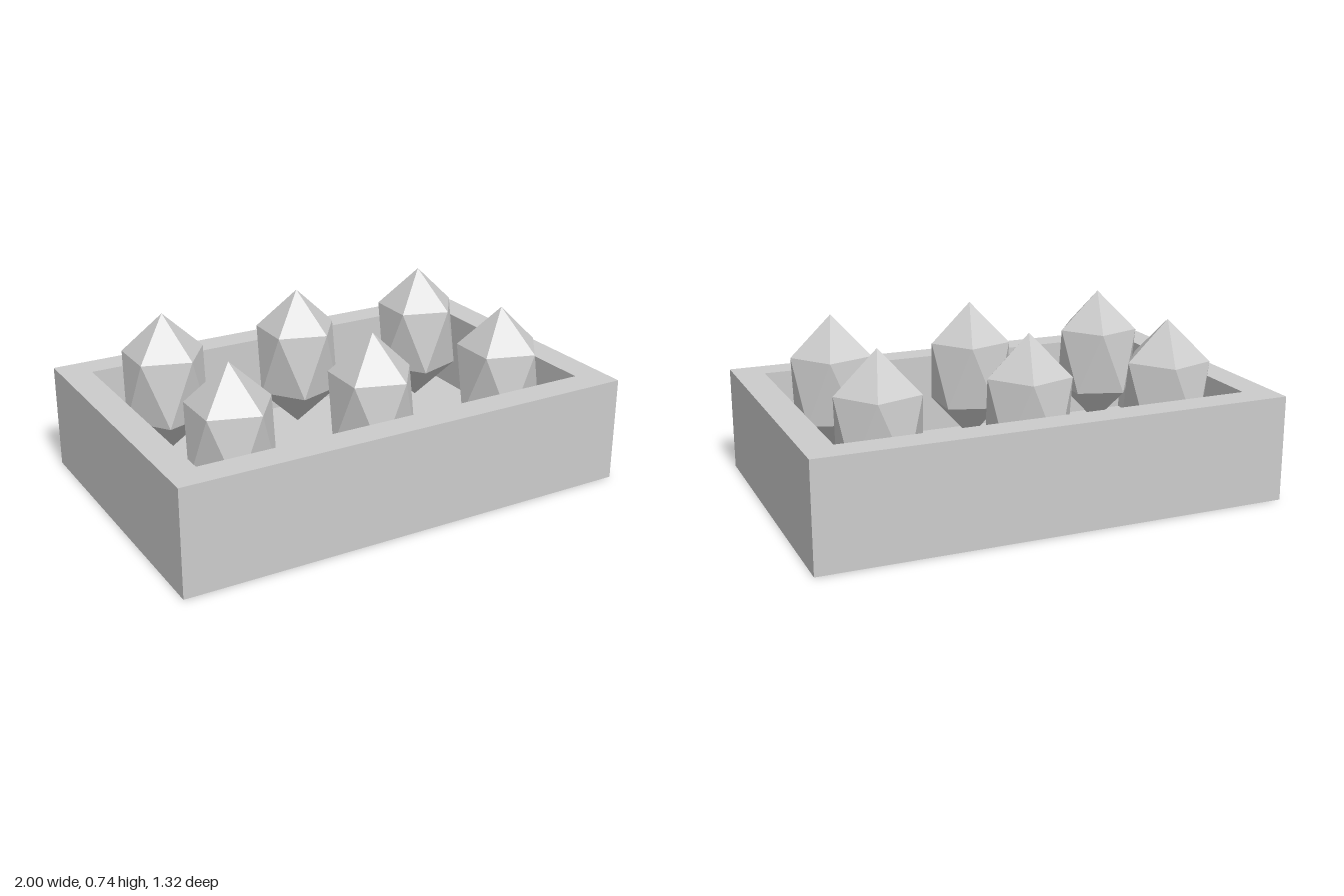
import * as THREE from 'three';
import { ConvexGeometry } from 'three/addons/geometries/ConvexGeometry.js';
import { mergeGeometries } from 'three/addons/utils/BufferGeometryUtils.js';

const WIDTH = 2, HEIGHT = 0.449, DEPTH = 1.316, WALL = 0.126, FLOOR = 0.095;

// Five-sided box, open at the top and standing on y = base
function openBox(width, depth, base) {
  const g = new THREE.BoxGeometry(width, HEIGHT - base, depth);
  const index = Array.from(g.index.array);
  index.splice(12, 6);
  g.setIndex(index);
  return g.translate(0, (HEIGHT + base) / 2, 0);
}

function rectangle(path, width, depth) {
  const x = width / 2, z = depth / 2;
  path.moveTo(-x, -z).lineTo(x, -z).lineTo(x, z).lineTo(-x, z).closePath();
  return path;
}

// Outer shell, inward-facing recess and flat rim joined into one closed tray
function trayGeometry() {
  const innerW = WIDTH - 2 * WALL, innerD = DEPTH - 2 * WALL;
  const outer = openBox(WIDTH, DEPTH, 0);
  const inner = openBox(innerW, innerD, FLOOR).scale(-1, 1, 1); // mirrored to face inward
  inner.computeVertexNormals();
  const shape = rectangle(new THREE.Shape(), WIDTH, DEPTH);
  shape.holes.push(rectangle(new THREE.Path(), innerW, innerD));
  const rim = new THREE.ShapeGeometry(shape).rotateX(-Math.PI / 2).translate(0, HEIGHT, 0);
  return mergeGeometries([outer, inner, rim]);
}

// Tall twenty-sided egg: two poles and two offset rings of five points
function eggGeometry() {
  const radius = 0.179, halfHeight = 0.31, ringY = halfHeight * 0.447;
  const points = [new THREE.Vector3(0, halfHeight, 0), new THREE.Vector3(0, -halfHeight, 0)];
  for (let i = 0; i < 10; i++) {
    const a = (i * Math.PI) / 5;
    points.push(new THREE.Vector3(radius * Math.cos(a), i % 2 ? -ringY : ringY, radius * Math.sin(a)));
  }
  return new ConvexGeometry(points);
}

export function createModel() {
  const model = new THREE.Group();
  model.name = 'eggTray';
  const material = new THREE.MeshStandardMaterial({ color: 0xcccccc, flatShading: true });

  const tray = new THREE.Mesh(trayGeometry(), material);
  tray.name = 'tray';
  model.add(tray);

  // Two rows of three eggs
  const eggs = new THREE.Group();
  eggs.name = 'eggs';
  const egg = eggGeometry();
  for (const z of [-0.316, 0.316]) {
    for (const x of [-0.632, 0, 0.632]) {
      const mesh = new THREE.Mesh(egg, material);
      mesh.name = 'egg';
      mesh.position.set(x, 0.425, z);
      eggs.add(mesh);
    }
  }
  model.add(eggs);
  return model;
}
